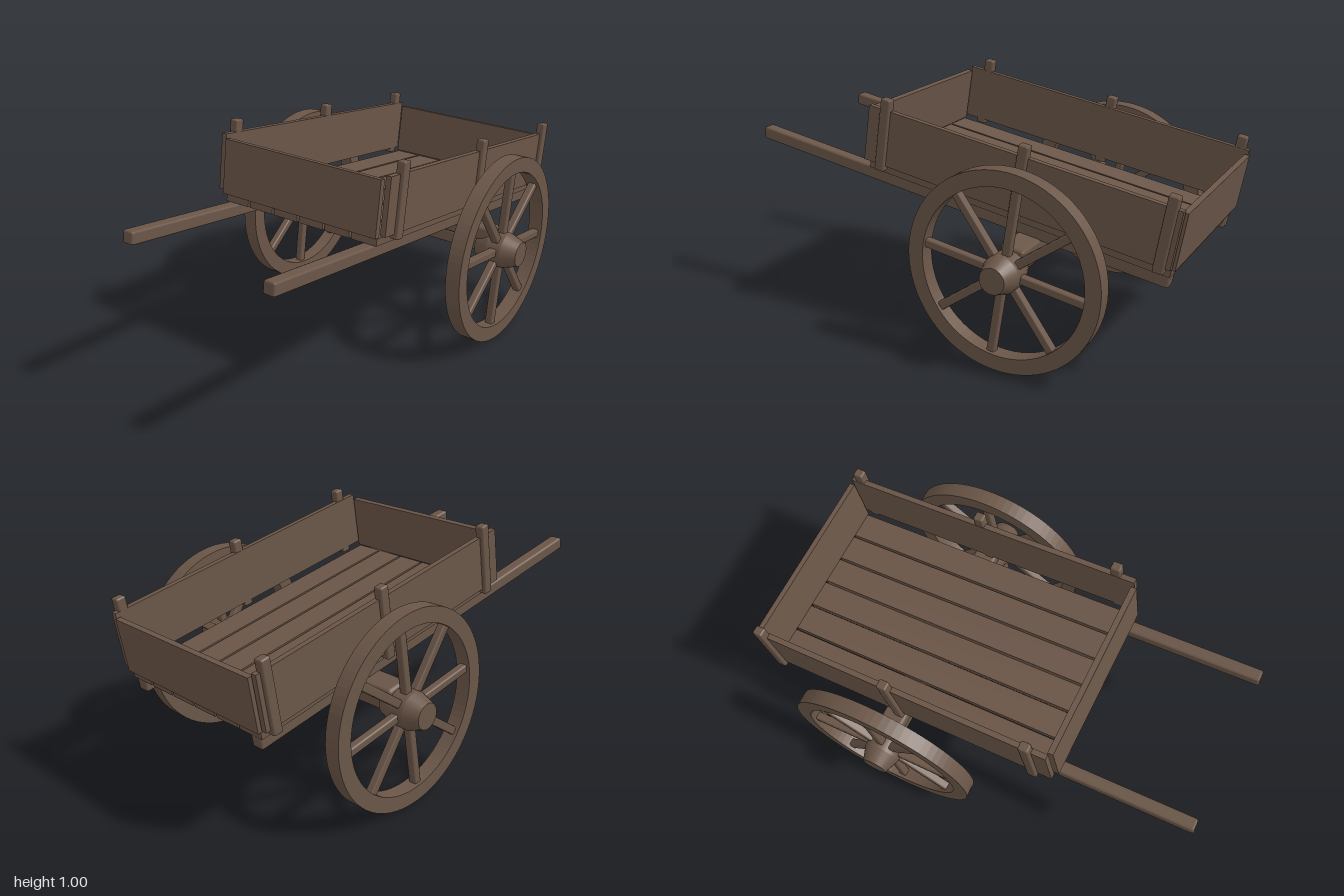
import * as THREE from 'three';
import { RoundedBoxGeometry } from 'three/addons/geometries/RoundedBoxGeometry.js';

export function createModel() {
  const wood = new THREE.MeshStandardMaterial({ color: 0x6b5648 });
  wood.name = 'brown wood';

  // The whole cart is tipped back around its axle
  const model = new THREE.Group();
  model.name = 'handcart';
  const cart = new THREE.Group();
  cart.name = 'tippedCart';
  cart.position.set(0.333, 0.419, 0);
  cart.rotation.z = THREE.MathUtils.degToRad(-9);
  model.add(cart);

  const add = (name, geometry, parent = cart) => {
    const mesh = new THREE.Mesh(geometry, wood);
    mesh.name = name;
    parent.add(mesh);
    return mesh;
  };
  // Box given by its limits on each axis, with optional chamfered edges
  const beam = (name, [x0, x1], [y0, y1], [z0, z1], bevel = 0, parent = cart) => {
    const size = [x1 - x0, y1 - y0, z1 - z0];
    const geometry = bevel
      ? new RoundedBoxGeometry(...size, 1, bevel)
      : new THREE.BoxGeometry(...size);
    const mesh = add(name, geometry, parent);
    mesh.position.set((x0 + x1) / 2, (y0 + y1) / 2, (z0 + z1) / 2);
    return mesh;
  };

  // Floor planks with narrow gaps
  for (let i = 0; i < 6; i++) {
    const z = (i - 2.5) * 0.13;
    beam('floorPlank', [-0.77, 0.59], [0.14, 0.17], [z - 0.06, z + 0.06]);
  }

  // End boards
  beam('frontBoard', [-0.79, -0.765], [0.175, 0.41], [-0.39, 0.39]);
  beam('rearBoard', [0.582, 0.605], [0.175, 0.41], [-0.39, 0.39]);

  // Axle and the bolster above it
  beam('axle', [-0.04, 0.04], [-0.025, 0.032], [-0.47, 0.47], 0.01);
  beam('bolster', [-0.053, 0.053], [0.03, 0.092], [-0.51, 0.51], 0.014);

  const hubProfile = [[0, -0.1], [0.055, -0.1], [0.08, -0.034], [0.08, 0.034], [0.055, 0.1], [0, 0.1]]
    .map(([r, h]) => new THREE.Vector2(r, h));
  const rimShape = new THREE.Shape().absarc(0, 0, 0.419, 0, Math.PI * 2, false);
  rimShape.holes.push(new THREE.Path().absarc(0, 0, 0.353, 0, Math.PI * 2, true));

  for (const side of [1, -1]) {
    const label = side > 0 ? 'left' : 'right';
    const span = (a, b) => (side > 0 ? [a, b] : [-b, -a]);

    // Long pull shaft, side board and its posts
    beam(label + 'Shaft', [-1.362, 0.588], [0.085, 0.14], span(0.318, 0.373), 0.009);
    beam(label + 'SideBoard', [-0.775, 0.595], [0.187, 0.427], span(0.4, 0.424));
    for (const x of [-0.69, -0.055, 0.553]) {
      beam(label + 'Post', [x - 0.022, x + 0.022], [0.165, 0.478], span(0.401, 0.441), 0.007);
    }

    // Wheel with rim, hub and eight spokes
    const wheel = new THREE.Group();
    wheel.name = label + 'Wheel';
    wheel.position.z = side * 0.547;
    cart.add(wheel);
    const rim = new THREE.ExtrudeGeometry(rimShape, { depth: 0.066, bevelEnabled: false, curveSegments: 40 });
    rim.translate(0, 0, -0.033);
    add('rim', rim, wheel);
    // Repeated rings of points keep the hub edges crisp
    const points = hubProfile.slice(0, -1).map((p, i) => [p, hubProfile[i + 1]]);
    for (const pair of points) {
      add('hub', new THREE.LatheGeometry(pair, 24).rotateX(Math.PI / 2), wheel);
    }
    for (let i = 0; i < 8; i++) {
      const arm = new THREE.Group();
      arm.name = 'spokeArm';
      arm.rotation.z = i * Math.PI / 4;
      wheel.add(arm);
      beam('spoke', [0.05, 0.365], [-0.018, 0.018], [-0.018, 0.018], 0.007, arm);
    }
  }
  return model;
}
